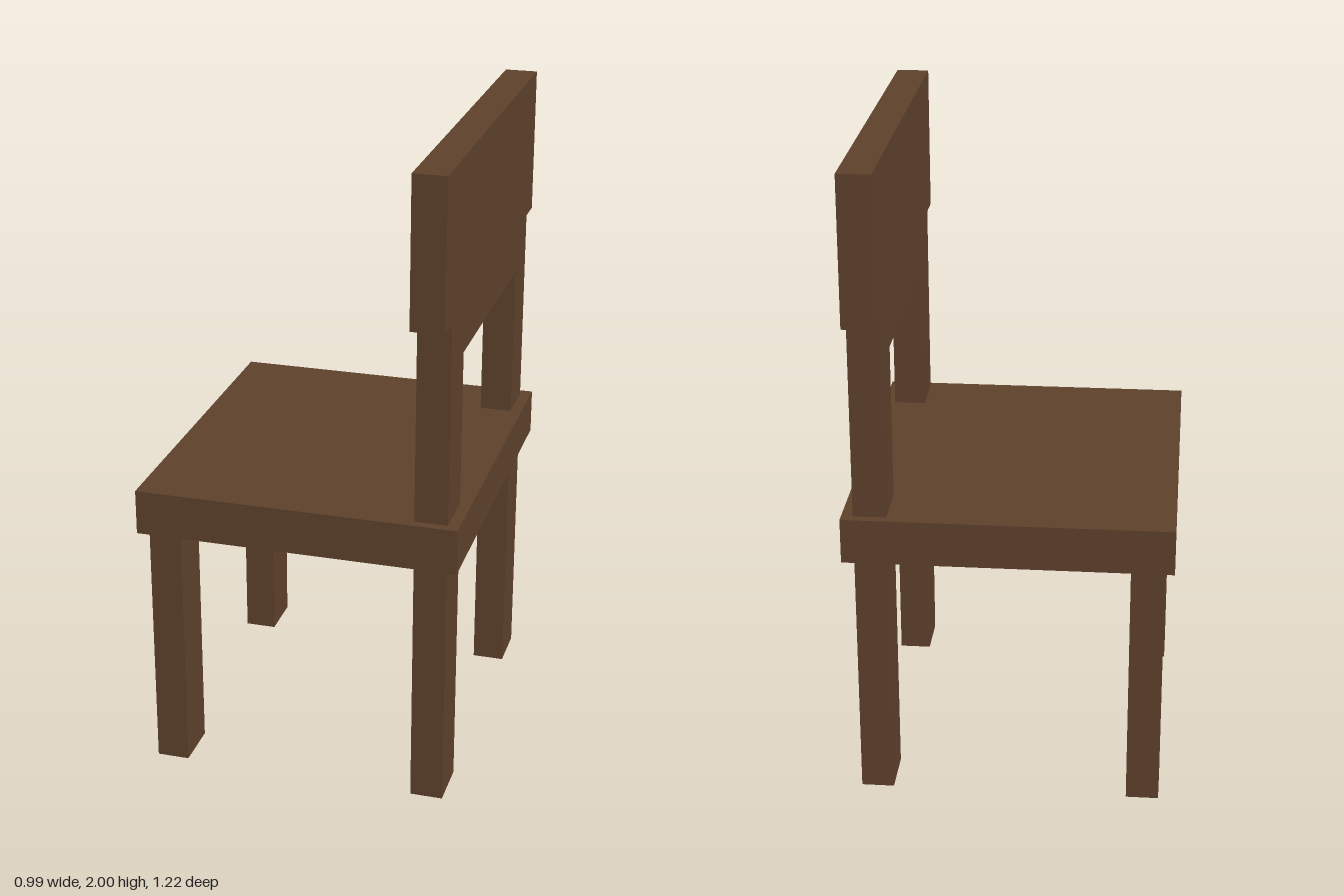
import * as THREE from 'three';

export function createModel() {
  const group = new THREE.Group();
  const wood = new THREE.MeshStandardMaterial({ color: 0x5d402b, flatShading: true, side: THREE.DoubleSide });
  wood.name = 'dark brown wood';

  function add(name, geometry, x = 0, y = 0, z = 0) {
    const mesh = new THREE.Mesh(geometry, wood);
    mesh.name = name;
    mesh.position.set(x, y, z);
    group.add(mesh);
  }

  const seatBottom = 0.79, seatTop = 0.93;

  // Seat: a hollow slab, open underneath (the bottom face is dropped)
  const seat = new THREE.BoxGeometry(0.99, seatTop - seatBottom, 1.1);
  seat.setIndex(Array.from(seat.index.array).filter((_, i) => i < 18 || i >= 24));
  seat.clearGroups();
  add('seat', seat, 0, (seatBottom + seatTop) / 2, 0);

  // Shallow eight-sided panel closing the middle of the underside
  const panel = new THREE.ConeGeometry(1, 0.02, 8, 1, true);
  panel.scale(0.494, 1, 0.549);
  add('seatUnderside', panel, 0, seatBottom + 0.011, 0);

  // Front legs reach up inside the seat
  const legHeight = seatTop - 0.01;
  for (const side of [-1, 1]) {
    add('frontLeg', new THREE.BoxGeometry(0.1, legHeight, 0.155), -0.415, legHeight / 2, side * 0.445);
  }

  // Back legs and wide backrest, one outline: half of it, then mirrored
  const half = [[0.367, 1.41], [0.367, 0], [0.522, 0], [0.522, 1.55], [0.61, 1.55], [0.61, 2]];
  const mirrored = half.map(([z, y]) => [-z, y]).reverse();
  const outline = new THREE.Shape([...half, ...mirrored].map(([z, y]) => new THREE.Vector2(z, y)));
  const back = new THREE.ExtrudeGeometry(outline, { depth: 0.1, bevelEnabled: false });
  back.rotateY(-Math.PI / 2);
  add('backLegsAndBackrest', back, 0.46, 0, 0);

  return group;
}
